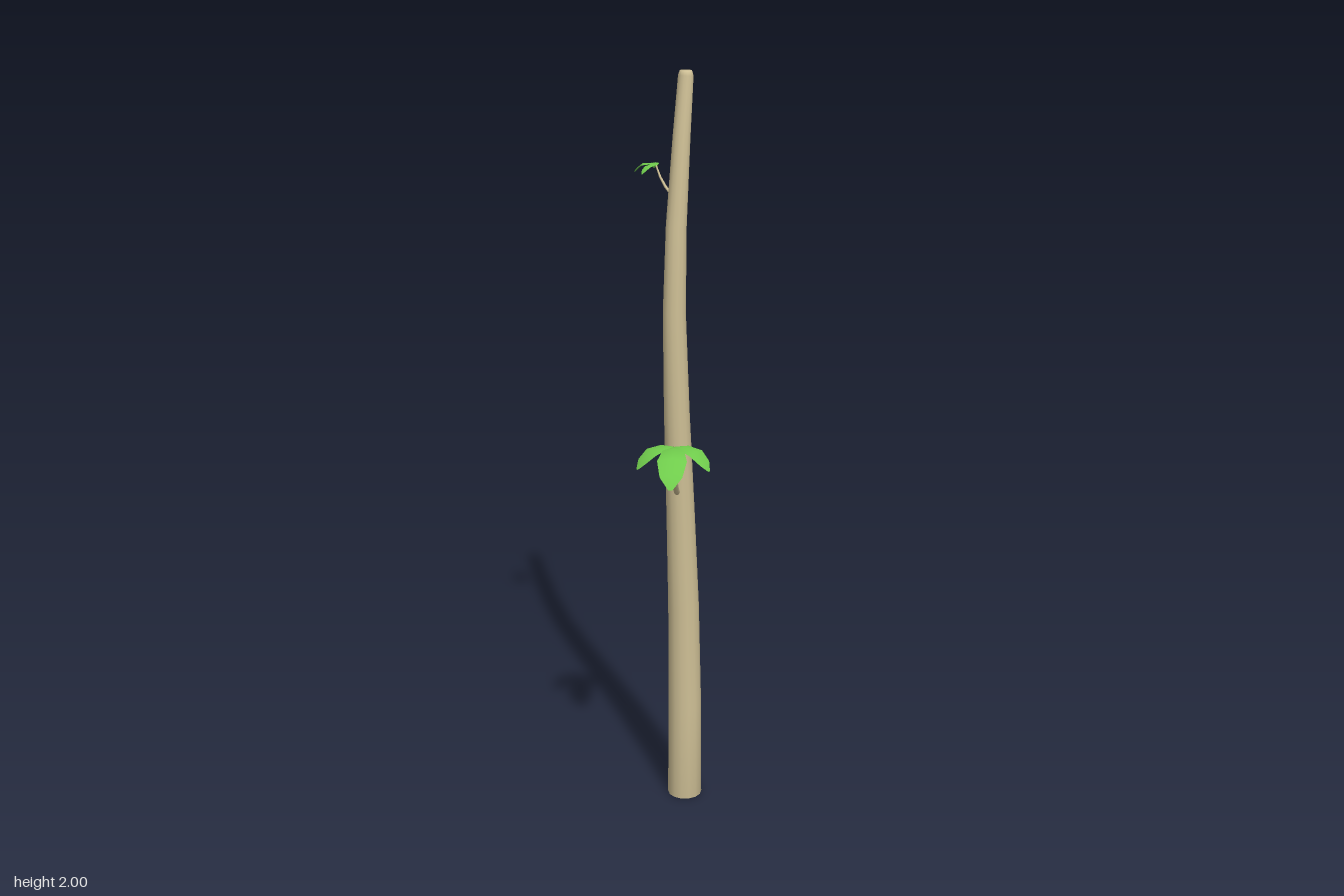
import * as THREE from 'three';
import { mergeVertices } from 'three/addons/utils/BufferGeometryUtils.js';

const bark = new THREE.MeshStandardMaterial({ color: 0xcfc096 });
bark.name = 'bark';
const leafGreen = new THREE.MeshStandardMaterial({ color: 0x70cc4c, side: THREE.DoubleSide });
leafGreen.name = 'leafGreen';

const UP = new THREE.Vector3(0, 1, 0);

// Weld a geometry so its normals run smoothly over every edge
function smooth(geo) {
  geo.deleteAttribute('uv');
  geo.deleteAttribute('normal');
  const welded = mergeVertices(geo, 1e-5);
  welded.computeVertexNormals();
  return welded;
}

// Closed tapering limb through rings of [x, y, z, radius]
function limb(name, rings, sides) {
  const n = rings.length - 1;
  const geo = new THREE.CylinderGeometry(1, 1, 1, sides, n);
  const pos = geo.attributes.position;
  const centres = rings.map(([x, y, z]) => new THREE.Vector3(x, y, z));
  const turns = centres.map((c, i) => {
    const dir = centres[Math.min(i + 1, n)].clone().sub(centres[Math.max(i - 1, 0)]).normalize();
    return new THREE.Quaternion().setFromUnitVectors(UP, dir);
  });
  const v = new THREE.Vector3();
  for (let i = 0; i < pos.count; i++) {
    const row = Math.round((pos.getY(i) + 0.5) * n);
    v.set(pos.getX(i), 0, pos.getZ(i)).multiplyScalar(rings[row][3]);
    v.applyQuaternion(turns[row]).add(centres[row]);
    pos.setXYZ(i, v.x, v.y, v.z);
  }
  const mesh = new THREE.Mesh(smooth(geo), bark);
  mesh.name = name;
  return mesh;
}

// Drooping leaflet along +z; rows of [distance, half width, height]
function leaflet(name, turn, size) {
  const rows = [
    [0, 0.004, 0], [0.04, 0.027, 0.01], [0.09, 0.037, 0.003],
    [0.127, 0.028, -0.027], [0.147, 0.005, -0.058],
  ];
  const geo = new THREE.PlaneGeometry(2, 1, 2, rows.length - 1);
  const pos = geo.attributes.position;
  for (let i = 0; i < pos.count; i++) {
    const side = pos.getX(i);
    const [d, w, h] = rows[Math.round((pos.getY(i) + 0.5) * (rows.length - 1))];
    pos.setXYZ(i, -side * w, h - Math.abs(side) * w * 0.2, d);
  }
  const mesh = new THREE.Mesh(smooth(geo), leafGreen);
  mesh.name = name;
  mesh.rotation.y = turn;
  mesh.scale.setScalar(size);
  return mesh;
}

// Three leaflets fanned from the end of a twig
function leaf(name, position, heading, size) {
  const group = new THREE.Group();
  group.name = name;
  group.add(leaflet('middleLeaflet', 0, 1));
  group.add(leaflet('leftLeaflet', 1.02, 0.72));
  group.add(leaflet('rightLeaflet', -1.02, 0.72));
  group.position.set(...position);
  group.rotation.y = heading;
  group.scale.setScalar(size);
  return group;
}

export function createModel() {
  const model = new THREE.Group();
  model.name = 'sapling';

  // Gently bowed trunk with a slightly rounded tip
  model.add(limb('trunk', [
    [0.016, 0, -0.14, 0.046], [0.016, 0.28, -0.139, 0.044], [0.013, 0.57, -0.132, 0.041],
    [0.007, 0.85, -0.118, 0.037], [0, 1.13, -0.102, 0.033], [-0.005, 1.4, -0.094, 0.029],
    [-0.002, 1.62, -0.102, 0.026], [0.007, 1.84, -0.121, 0.022], [0.014, 1.988, -0.137, 0.019],
    [0.014, 2, -0.138, 0.015],
  ], 14));

  // Lower twig and its large leaf
  model.add(limb('lowerTwig', [
    [0.004, 0.91, -0.09, 0.008], [0.007, 0.935, -0.058, 0.008], [0.013, 0.985, -0.012, 0.007],
    [0.018, 1.035, 0.022, 0.006], [0.023, 1.09, 0.043, 0.004],
  ], 8));
  model.add(leaf('lowerLeaf', [0.024, 1.09, 0.041], 0.13, 1));

  // Upper twig and its small leaf
  model.add(limb('upperTwig', [
    [-0.015, 1.695, -0.114, 0.004], [-0.033, 1.712, -0.122, 0.0035],
    [-0.048, 1.735, -0.128, 0.003], [-0.06, 1.763, -0.134, 0.002],
  ], 8));
  model.add(leaf('upperLeaf', [-0.059, 1.763, -0.134], -1.79, 0.41));

  return model;
}
